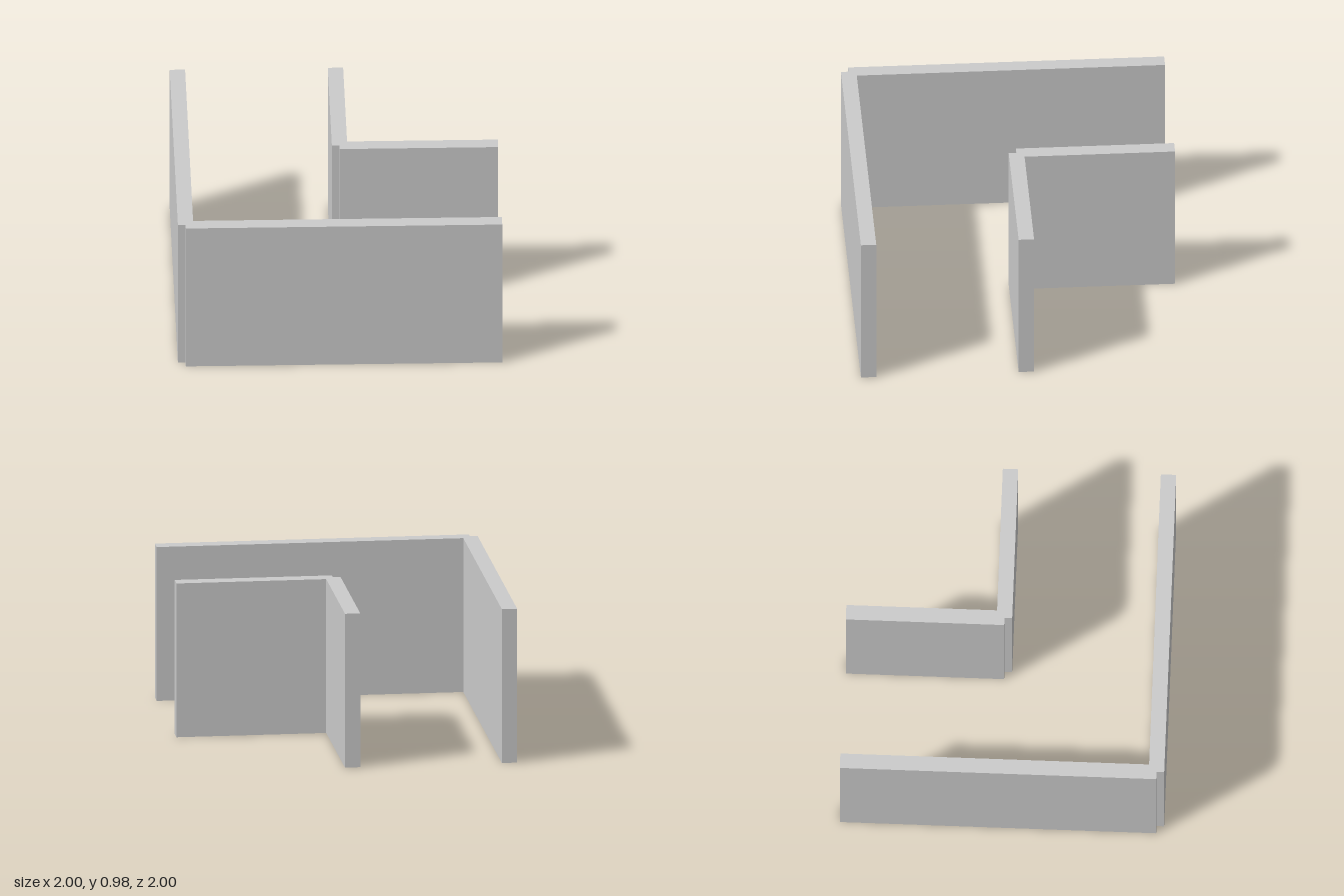
import * as THREE from 'three';

const HEIGHT = 0.975;
const THICK = 0.095;
const NOTCH = THICK / 2;
const END = 1; // both wings run out to x = 1 and z = -1

const material = new THREE.MeshStandardMaterial({ color: 0xcccccc, flatShading: true });

// L-shaped wall with a small square notch at its outer corner (-c, c)
function cornerWall(name, c) {
  const outline = new THREE.Shape([
    [-c + NOTCH, -c], [END, -c], [END, -c + THICK], [-c + THICK, -c + THICK],
    [-c + THICK, END], [-c, END], [-c, -c + NOTCH], [-c + NOTCH, -c + NOTCH],
  ].map(([x, y]) => new THREE.Vector2(x, y)));
  const geometry = new THREE.ExtrudeGeometry(outline, { depth: HEIGHT, bevelEnabled: false });
  geometry.rotateX(-Math.PI / 2); // plan y becomes -z, extrusion becomes height
  const mesh = new THREE.Mesh(geometry, material);
  mesh.name = name;
  return mesh;
}

export function createModel() {
  const group = new THREE.Group();
  group.name = 'corridorCorner';
  group.add(cornerWall('outerWall', 1), cornerWall('innerWall', 0.025));
  return group;
}
